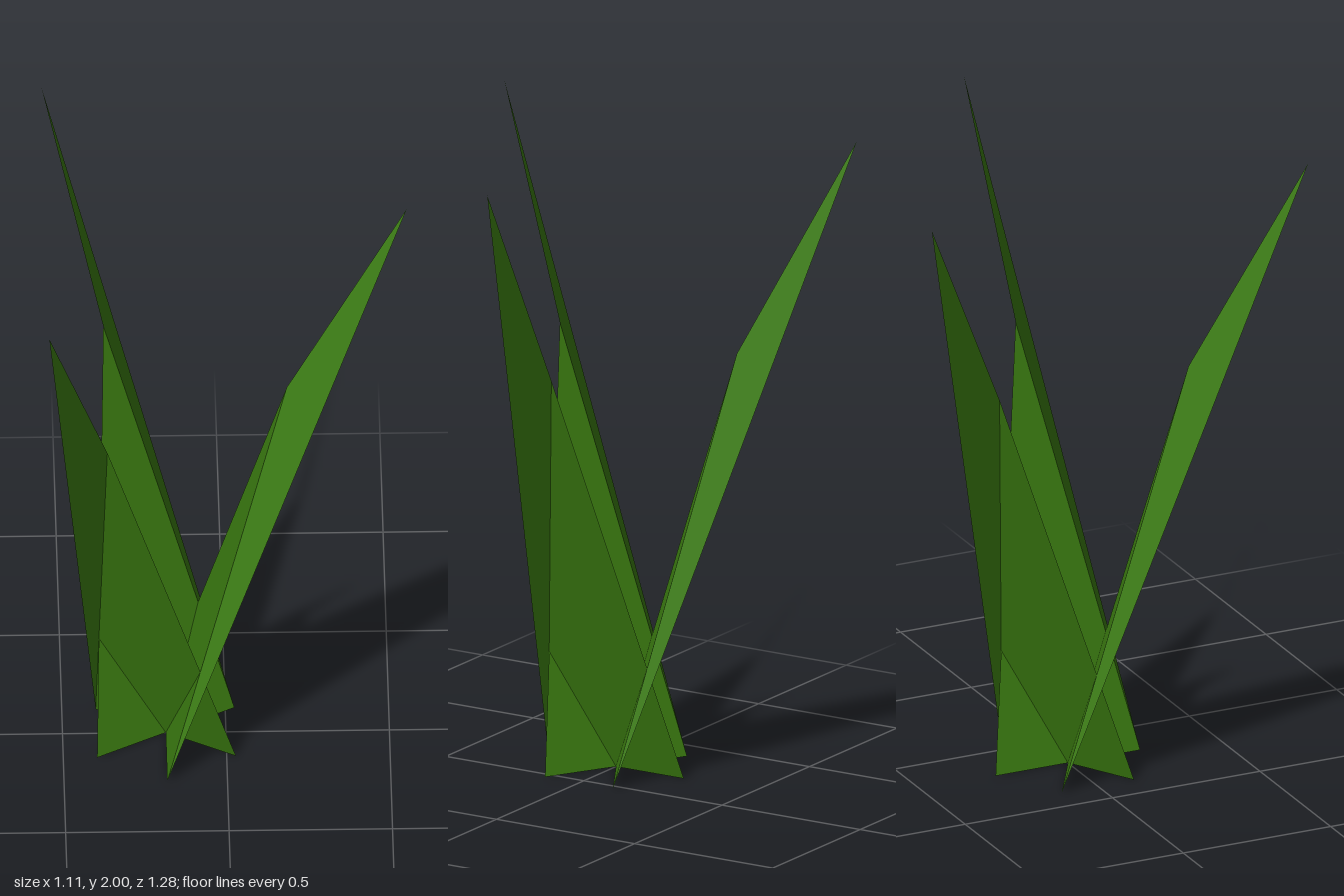
import * as THREE from 'three';

const RADIUS = 0.245; // half width of a blade at the ground
const BEND = [0.37, 1.32, 0]; // where the leaf folds
const TIP = [0.737, 2, 0];

// One folded leaf: a broad lower face and a twisted tip face sharing an edge.
function bladeGeometry() {
  const near = [0, 0, RADIUS];
  const far = [0, 0, -RADIUS];
  const corners = [near, far, BEND, near, BEND, TIP].flat();
  const geometry = new THREE.BufferGeometry();
  geometry.setAttribute('position', new THREE.Float32BufferAttribute(corners, 3));
  geometry.computeVertexNormals();
  return geometry;
}

export function createModel() {
  const group = new THREE.Group();
  group.name = 'grassTuft';

  const leafGreen = new THREE.MeshStandardMaterial({
    color: 0x3a7a10,
    side: THREE.DoubleSide,
    flatShading: true,
  });
  leafGreen.name = 'leafGreen';

  // Three crossing blades fanned evenly around a common root
  const geometry = bladeGeometry();
  for (let i = 0; i < 3; i++) {
    const blade = new THREE.Mesh(geometry, leafGreen);
    blade.name = `grassBlade${i + 1}`;
    blade.position.x = -0.184;
    blade.rotation.y = (i * Math.PI * 2) / 3;
    group.add(blade);
  }
  return group;
}
